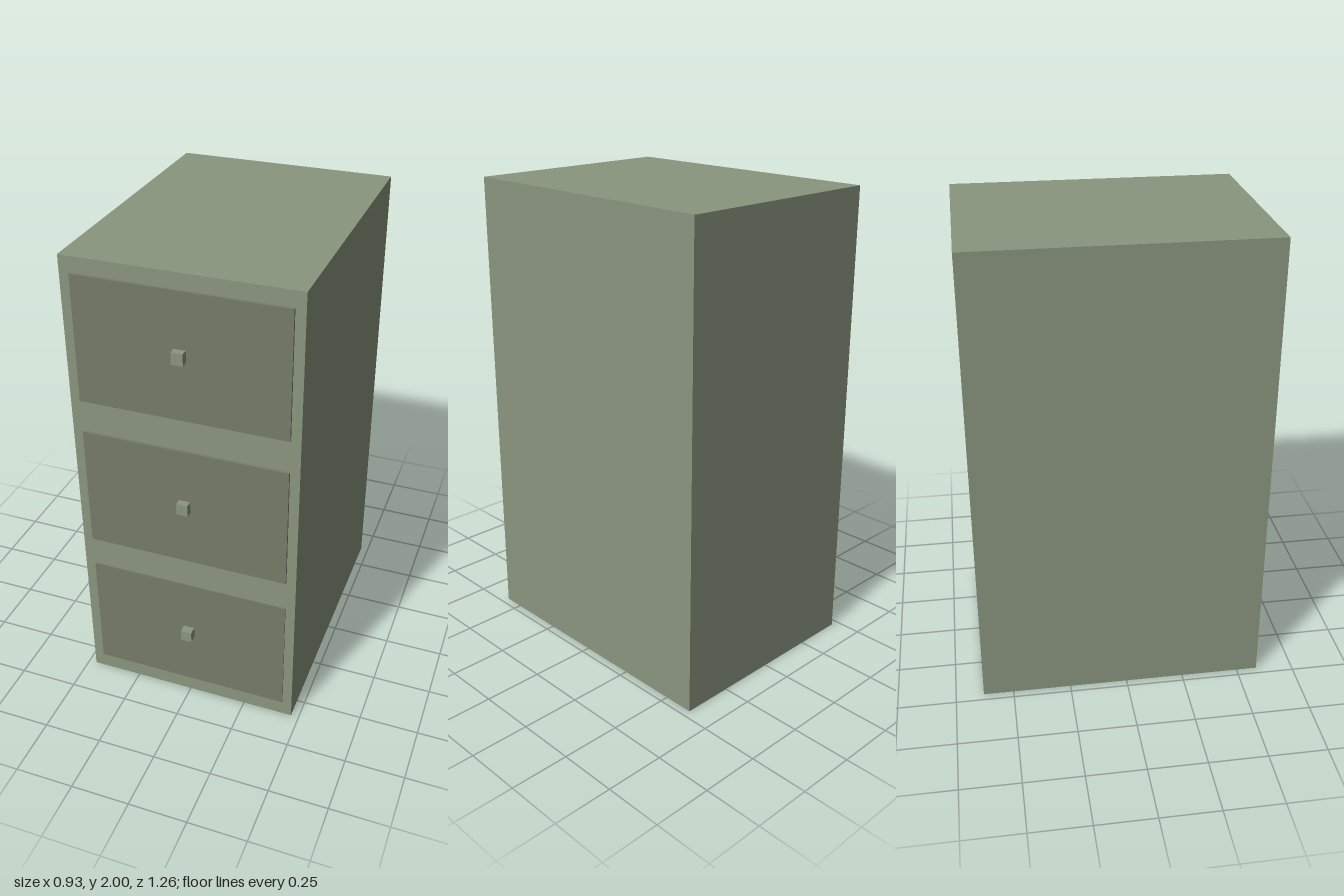
import * as THREE from 'three';

const green = new THREE.MeshStandardMaterial({ color: 0x8a967f });
const olive = new THREE.MeshStandardMaterial({ color: 0x777c69 });

// Box given by its minimum and maximum corners
function box(name, min, max, material) {
  const size = max.map((v, i) => v - min[i]);
  const mesh = new THREE.Mesh(new THREE.BoxGeometry(...size), material);
  mesh.position.set(...max.map((v, i) => (v + min[i]) / 2));
  mesh.name = name;
  return mesh;
}

export function createModel() {
  const cabinet = new THREE.Group();
  cabinet.name = 'drawerCabinet';

  // Plain cabinet body
  const front = 0.59;
  cabinet.add(box('body', [-0.466, 0, -0.63], [0.466, 2, front], green));

  // Three drawer fronts, each with a small square knob; the lowest sits nearly flush
  const drawers = [
    { name: 'bottomDrawer', y: 0.335, face: 0.595 },
    { name: 'middleDrawer', y: 1.0, face: 0.6 },
    { name: 'topDrawer', y: 1.67, face: 0.6 },
  ];
  for (const { name, y, face } of drawers) {
    const drawer = new THREE.Group();
    drawer.name = name;
    drawer.add(box('drawerFront', [-0.422, y - 0.265, front - 0.02], [0.426, y + 0.265, face], olive));
    drawer.add(box('knob', [-0.021, y - 0.015, front - 0.01], [0.026, y + 0.035, 0.63], green));
    cabinet.add(drawer);
  }
  return cabinet;
}
